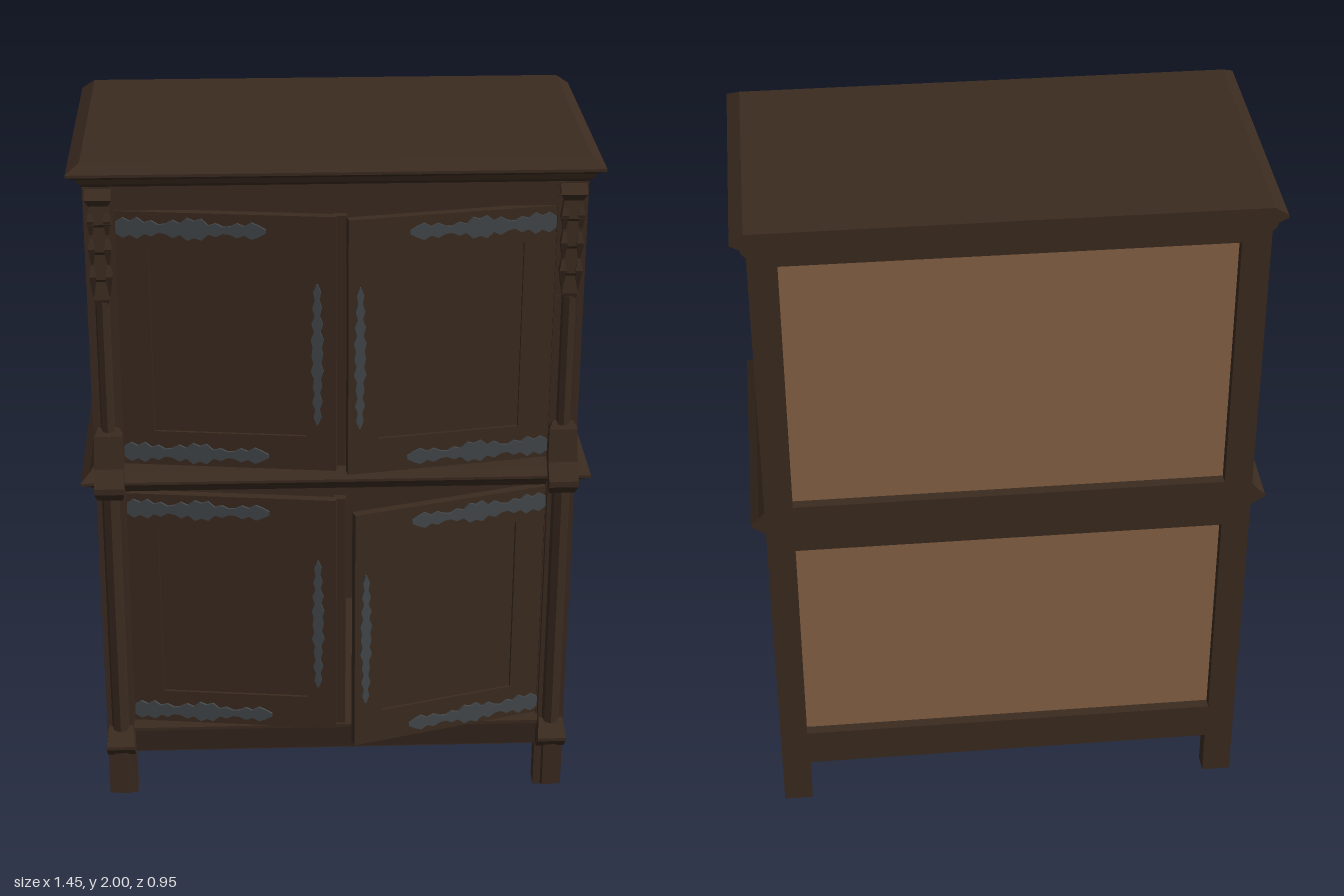
import * as THREE from 'three';

const mat = (name, color) => {
  const m = new THREE.MeshStandardMaterial({ color });
  m.name = name;
  return m;
};

export function createModel() {
  const oak = mat('dark oak', 0x3b2b20);
  const backing = mat('pale back board', 0x8a6447);
  const iron = mat('wrought iron', 0x44484b);
  const root = new THREE.Group();
  root.name = 'cupboard';

  const add = (parent, name, geo, material = oak) => {
    const m = new THREE.Mesh(geo, material);
    m.name = name;
    parent.add(m);
    return m;
  };
  // Box given by its limits
  const box = (parent, name, x0, x1, y0, y1, z0, z1, material) =>
    add(parent, name, new THREE.BoxGeometry(x1 - x0, y1 - y0, z1 - z0)
      .translate((x0 + x1) / 2, (y0 + y1) / 2, (z0 + z1) / 2), material);
  // Solid with a rectangular section at each level: [y, x0, x1, z0, z1]
  const stack = (levels) => {
    const rings = levels.map(([y, x0, x1, z0, z1]) => [[x0, y, z1], [x1, y, z1], [x1, y, z0], [x0, y, z0]]);
    const pos = [];
    const quad = (a, b, c, d) => pos.push(...a, ...b, ...c, ...a, ...c, ...d);
    for (let i = 0; i < rings.length - 1; i++)
      for (let j = 0; j < 4; j++) {
        const k = (j + 1) % 4;
        quad(rings[i][j], rings[i][k], rings[i + 1][k], rings[i + 1][j]);
      }
    quad(...rings[rings.length - 1]);
    quad(...[...rings[0]].reverse());
    const g = new THREE.BufferGeometry();
    g.setAttribute('position', new THREE.Float32BufferAttribute(pos, 3));
    g.computeVertexNormals();
    return g;
  };
  // Board with rectangular openings, each [u0, u1, v0, v1]
  const board = (outer, holes, depth) => {
    const trace = (p, [a, b, c, d]) => p.moveTo(a, c).lineTo(b, c).lineTo(b, d).lineTo(a, d).closePath();
    const s = trace(new THREE.Shape(), outer);
    holes.forEach((h) => s.holes.push(trace(new THREE.Path(), h)));
    return new THREE.ExtrudeGeometry(s, { depth, bevelEnabled: false });
  };
  // Raised field lying in the xy plane and facing +z
  const field = ([u0, u1, v0, v1], bevel, h) => stack([
    [0, u0, u1, -v1, -v0],
    [h, u0 + bevel, u1 - bevel, -v1 + bevel, -v0 - bevel],
  ]).rotateX(Math.PI / 2);

  const W = 0.685, ZB = -0.475, ZF = 0.303;

  // Cornice and middle moulding run round the front and both sides
  const moulding = (profile) => stack(profile.map(([y, o]) => [y, -W - o, W + o, ZB, ZF + o]));
  add(root, 'cornice', moulding([[1.9, -0.005], [1.93, 0], [1.94, 0.01], [1.955, 0.016], [1.968, 0.041], [1.976, 0.041], [2, 0.004]]));
  add(root, 'middleMoulding', moulding([[1.015, -0.005], [1.03, 0.003], [1.042, 0.018], [1.055, 0.04], [1.063, 0.04], [1.085, 0.016], [1.105, 0]]));

  // Panelled sides
  for (const s of [-1, 1]) {
    const side = new THREE.Group();
    side.name = s > 0 ? 'leftSide' : 'rightSide';
    side.rotation.y = s * Math.PI / 2;
    root.add(side);
    const span = (za, zb) => [Math.min(-s * za, -s * zb), Math.max(-s * za, -s * zb)];
    const holes = [], fields = [];
    for (const [y0, y1] of [[1.12, 1.885], [0.272, 0.995]]) {
      holes.push([...span(0.275, -0.02), y0, y1], [...span(-0.14, -0.415), y0, y1]);
      fields.push([...span(0.205, 0.03), y0 + 0.05, y1 - 0.052], [...span(-0.19, -0.365), y0 + 0.05, y1 - 0.052]);
    }
    add(side, 'sideFrame', board([...span(ZB, ZF), 0.145, 1.93], holes, 0.03)).position.z = W - 0.03;
    holes.forEach((h, i) => {
      add(side, 'sidePanel', board(h, [fields[i]], 0.014)).position.z = W - 0.022;
      const [a, b, c, d] = fields[i];
      add(side, 'panelMoulding', board(fields[i], [[a + 0.013, b - 0.013, c + 0.013, d - 0.013]], 0.026)).position.z = W - 0.027;
      add(side, 'panelField', field(fields[i], 0.024, 0.012)).position.z = W - 0.024;
    });
    box(side, 'sideLining', ...span(-0.45, 0.28), 0.2, 1.93, W - 0.035, W - 0.024);
  }

  // Back frame with two pale boards set well in, lined in oak on the inside
  const openings = [[-0.606, 0.606, 1.115, 1.95], [-0.606, 0.606, 0.262, 0.962]];
  add(root, 'backFrame', board([-W + 0.001, W - 0.001, 0.145, 1.975], openings, 0.04)).position.z = ZB;
  for (const [a, b, c, d] of openings) {
    box(root, 'backBoard', a, b, c, d, ZB + 0.03, ZB + 0.036, backing);
    box(root, 'backLining', a, b, c, d, ZB + 0.036, ZB + 0.042);
  }

  // Floor and front rails
  box(root, 'floor', -0.66, 0.66, 0.19, 0.25, ZB + 0.025, 0.28);
  box(root, 'topRail', -0.61, 0.61, 1.862, 1.93, 0.25, 0.303);
  box(root, 'bottomRail', -0.61, 0.61, 0.145, 0.25, 0.25, 0.303);
  add(root, 'plinthMoulding', stack([
    [0.15, -0.61, 0.61, 0.28, 0.306], [0.225, -0.61, 0.61, 0.28, 0.318],
    [0.235, -0.61, 0.61, 0.28, 0.318], [0.25, -0.61, 0.61, 0.28, 0.303]]));

  // Legs, posts and carved ornaments on each side
  for (const s of [-1, 1]) {
    const cx = s * 0.643;
    const block = (name, levels) =>
      add(root, name, stack(levels.map(([y, h, z0, z1]) => [y, cx - h, cx + h, z0, z1])));
    block('frontLeg', [[0, 0.042, 0.255, 0.305], [0.2, 0.042, 0.255, 0.305]]);
    block('legRib', [[0, 0.02, 0.29, 0.306], [0.025, 0.02, 0.29, 0.347], [0.18, 0.02, 0.29, 0.347]]);
    block('frontFoot', [[0.155, 0.042, 0.255, 0.335], [0.2, 0.042, 0.255, 0.383], [0.21, 0.042, 0.255, 0.383], [0.25, 0.036, 0.255, 0.33]]);
    block('backLeg', [[0, 0.042, ZB, -0.42], [0.2, 0.042, ZB, -0.42]]);
    block('postCore', [[0.2, 0.041, 0.26, 0.305], [1.93, 0.041, 0.26, 0.305]]);
    block('postCap', [[1.01, 0.036, 0.26, 0.345], [1.045, 0.042, 0.26, 0.383], [1.063, 0.042, 0.26, 0.383], [1.105, 0.042, 0.26, 0.345]]);
    block('upperPostBase', [[1.1, 0.042, 0.26, 0.342], [1.2, 0.04, 0.26, 0.325], [1.22, 0.03, 0.26, 0.31]]);
    // Clustered shafts
    for (const [y0, y1, z, r] of [[0.24, 1.02, 0.319, 0.028], [1.21, 1.6, 0.3, 0.022]]) {
      const shaft = new THREE.CylinderGeometry(r, r, y1 - y0, 8).toNonIndexed();
      shaft.computeVertexNormals();
      add(root, 'postShaft', shaft).position.set(cx, (y0 + y1) / 2, z);
      for (const o of [-0.031, 0.031])
        box(root, 'postFillet', cx + o - 0.007, cx + o + 0.007, y0, y1, 0.29, z + 0.006);
    }
    // Hanging pinnacle of stepped tiers
    block('pinnacle', [
      [1.55, 0.003, 0.29, 0.303], [1.61, 0.022, 0.29, 0.32], [1.66, 0.014, 0.29, 0.312],
      [1.67, 0.027, 0.29, 0.322], [1.74, 0.02, 0.29, 0.315], [1.75, 0.031, 0.29, 0.324],
      [1.82, 0.024, 0.29, 0.317], [1.83, 0.034, 0.29, 0.328], [1.88, 0.026, 0.29, 0.32], [1.9, 0.036, 0.29, 0.332], [1.925, 0.036, 0.29, 0.31]]);
    for (const y of [1.68, 1.76, 1.84])
      for (const o of [-0.022, 0.022])
        add(root, 'pinnacleLeaf', stack([
          [y - 0.06, cx + o - 0.002, cx + o + 0.002, 0.3, 0.314],
          [y, cx + o - 0.01, cx + o + 0.01, 0.3, 0.33],
          [y + 0.03, cx + o - 0.004, cx + o + 0.004, 0.3, 0.32]]));
  }

  // Iron plate running along +x, outlined by its half widths
  const plate = (length, width, halves) => {
    const step = length / (halves.length - 1);
    const pts = halves.map((h, i) => new THREE.Vector2(i * step, h * width));
    const low = pts.map((p) => new THREE.Vector2(p.x, -p.y)).reverse();
    return new THREE.ExtrudeGeometry(new THREE.Shape([...low, ...pts]), { depth: 0.007, bevelEnabled: false });
  };
  const strapEdge = [0.5, 0.9, 0.6, 0.95, 0.5, 0.7, 0.35, 0.45, 0.8, 0.5, 1, 0.75, 0.95, 0.4, 0.6, 0.3, 0.35, 0.65, 0.4, 0.75, 0.5, 0.15];
  const lockEdge = [0.1, 0.6, 0.35, 0.8, 0.4, 0.7, 0.5, 1, 0.6, 0.9, 0.7, 1, 0.5, 0.9, 0.4, 0.75, 0.35, 0.6, 0.1];

  // Doors, each hung on its outer edge and standing ajar
  const H = 0.755, T = 0.026;
  const door = (name, s, y0, degrees) => {
    const g = new THREE.Group();
    g.name = name;
    g.position.set(s * 0.6, y0, 0.287);
    g.rotation.y = s * THREE.MathUtils.degToRad(degrees);
    root.add(g);
    const w = s > 0 ? 0.582 : 0.603;
    const span = (a, b) => (s > 0 ? [-b, -a] : [a, b]);
    const hole = [...span(0.09, w - 0.085), 0.104, 0.655];
    add(g, 'doorFrame', board([...span(0, w), 0, H], [hole], T)).position.z = -T / 2;
    box(g, 'doorPanel', ...hole, -0.005, 0.005);
    if (s < 0) box(g, 'doorStop', w - 0.01, w + 0.025, 0.005, H - 0.005, -0.036, -0.012);
    for (const y of [0.04, H - 0.045]) {
      const strap = plate(0.41, 0.032, strapEdge);
      if (s > 0) strap.rotateZ(Math.PI);
      add(g, 'hingeStrap', strap, iron).position.set(-s * 0.003, y, T / 2);
    }
    const lock = plate(0.42, 0.018, lockEdge).rotateZ(Math.PI / 2);
    add(g, 'lockPlate', lock, iron).position.set(-s * (w - (s < 0 ? 0.052 : 0.032)), 0.142, T / 2);
  };
  door('upperRightDoor', -1, 1.105, 7);
  door('upperLeftDoor', 1, 1.105, 10);
  door('lowerRightDoor', -1, 0.255, 7);
  door('lowerLeftDoor', 1, 0.255, 17);

  return root;
}
